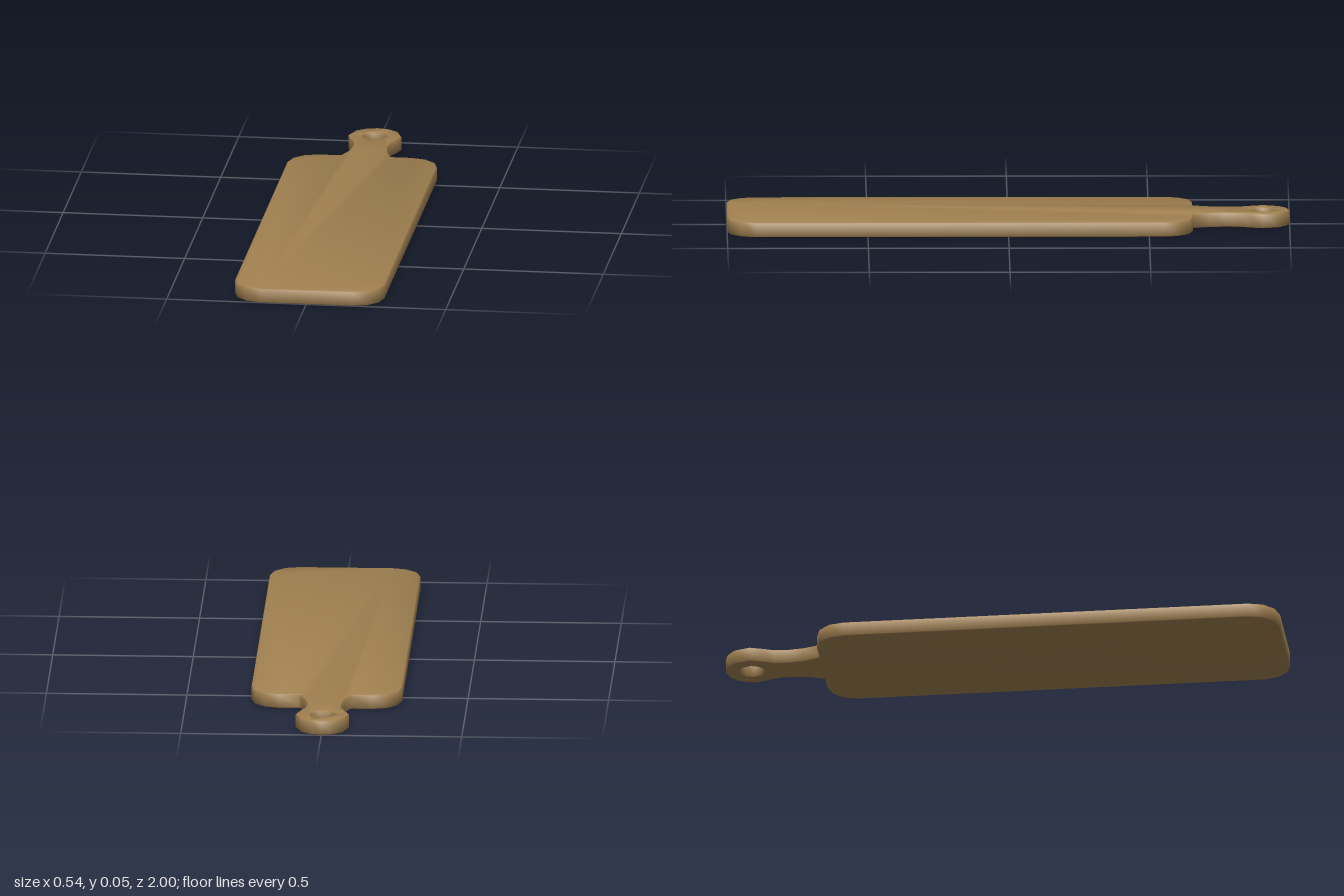
import * as THREE from 'three';
import { toCreasedNormals } from 'three/addons/utils/BufferGeometryUtils.js';

const THICKNESS = 0.052, BEVEL = 0.003;

// Right half of the outline as [x, z], from the front edge round to the tip of the handle
function halfOutline() {
  const halfWidth = 0.268, radius = 0.103, front = 1, shoulder = -0.655;
  const points = [];
  const corner = (cz, start) => {
    for (let i = 0; i <= 3; i++) {
      const a = start - (i * Math.PI) / 6;
      points.push([halfWidth - radius + radius * Math.cos(a), cz + radius * Math.sin(a)]);
    }
  };
  corner(front - radius, Math.PI / 2);
  corner(shoulder + radius, 0);
  // Neck and rounded handle end
  points.push([0.09, shoulder], [0.069, -0.715], [0.061, -0.77], [0.064, -0.82],
    [0.08, -0.86], [0.095, -0.905], [0.075, -0.963], [0.04, -0.99]);
  return points;
}

export function createModel() {
  const model = new THREE.Group();
  model.name = 'servingBoard';

  // Mirrored outline, drawn with shape y = -z
  const right = halfOutline();
  const left = [...right].reverse().map(([x, z]) => [-x, z]);
  const outline = [...right, [0, -1], ...left];
  const shape = new THREE.Shape(outline.map(([x, z]) => new THREE.Vector2(x, -z)));

  // Hanging hole
  const hole = [];
  for (let i = 0; i < 10; i++) {
    const a = (-i / 10) * Math.PI * 2;
    hole.push(new THREE.Vector2(0.045 * Math.cos(a), 0.905 + 0.045 * Math.sin(a)));
  }
  shape.holes.push(new THREE.Path(hole));

  let geometry = new THREE.ExtrudeGeometry(shape, {
    depth: THICKNESS - 2 * BEVEL,
    bevelEnabled: true,
    bevelThickness: BEVEL,
    bevelSize: BEVEL,
    bevelOffset: -BEVEL,
    bevelSegments: 1,
  });
  geometry.translate(0, 0, BEVEL);
  geometry.rotateX(-Math.PI / 2);

  // Soft shading over the rim; enlarged meanwhile so the narrow bevel is resolved
  geometry.scale(100, 100, 100);
  geometry = toCreasedNormals(geometry, 1.3);
  geometry.scale(0.01, 0.01, 0.01);

  const board = new THREE.Mesh(geometry, new THREE.MeshStandardMaterial({ color: 0xa08050 }));
  board.name = 'boardWithHandle';
  model.add(board);
  return model;
}
